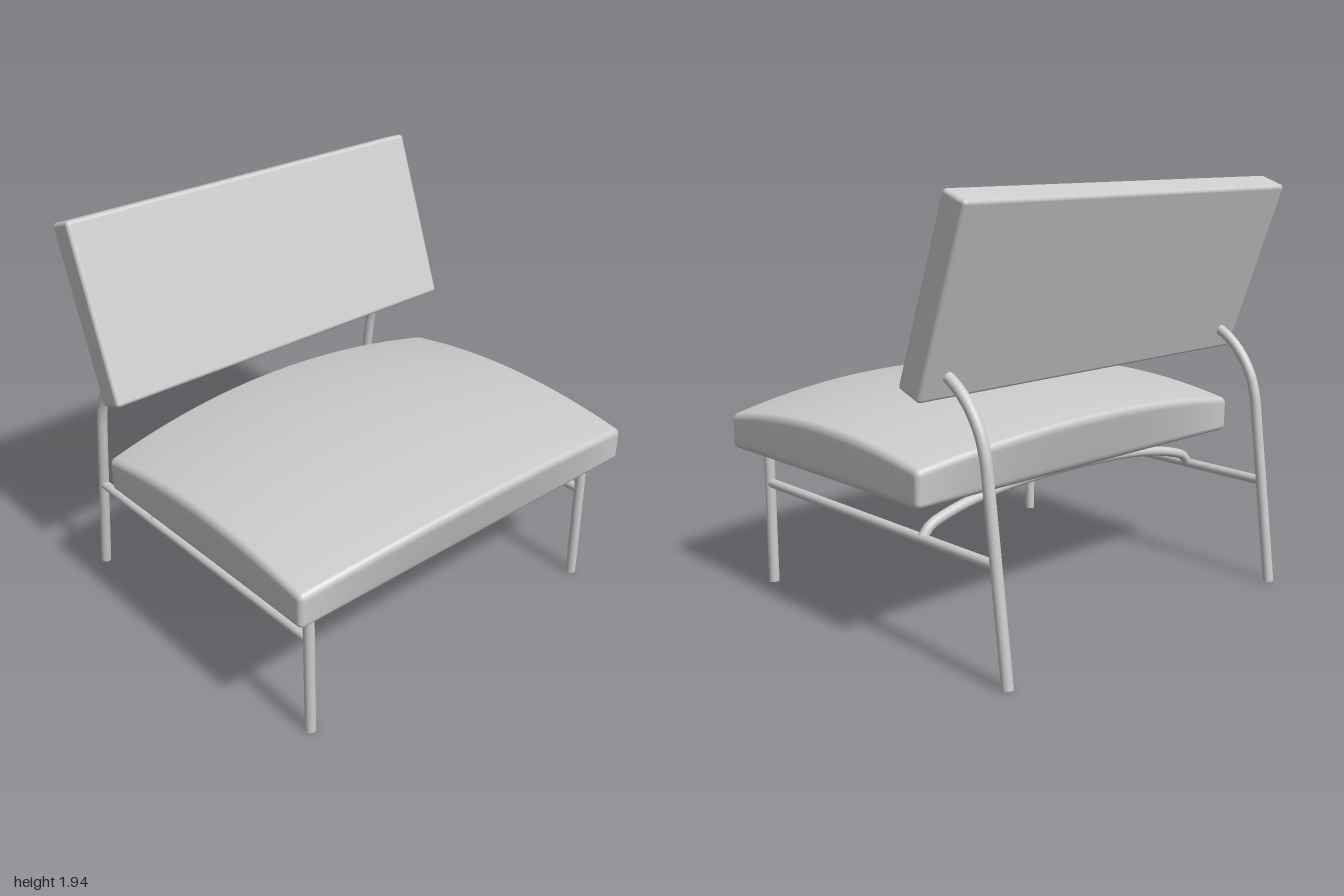
import * as THREE from 'three';
import { mergeVertices } from 'three/addons/utils/BufferGeometryUtils.js';
import { RoundedBoxGeometry } from 'three/addons/geometries/RoundedBoxGeometry.js';

const material = new THREE.MeshStandardMaterial({ color: 0xcccccc });
const V = (x, y, z) => new THREE.Vector3(x, y, z);

function part(name, geometry) {
  const mesh = new THREE.Mesh(geometry, material);
  mesh.name = name;
  return mesh;
}

// Straight capped rod between two points
function rod(name, a, b, radius) {
  const mesh = part(name, new THREE.CylinderGeometry(radius, radius, a.distanceTo(b), 20));
  mesh.position.copy(a).add(b).multiplyScalar(0.5);
  mesh.quaternion.setFromUnitVectors(V(0, 1, 0), b.clone().sub(a).normalize());
  return mesh;
}

function bentTube(name, points, radius, segments) {
  return part(name, new THREE.TubeGeometry(new THREE.CatmullRomCurve3(points), segments, radius, 16));
}

// Soft-edged cushion: a rounded box whose top swells in both directions
function cushionGeometry() {
  const half = [1, 0.08, 0.695], segs = [32, 12, 28], edge = 4, r = 0.025;
  const box = new THREE.BoxGeometry(2, 2, 2, ...segs);
  box.deleteAttribute('normal');
  box.deleteAttribute('uv');
  const geometry = mergeVertices(box, 1e-4);
  const pos = geometry.attributes.position;
  for (let i = 0; i < pos.count; i++) {
    const inner = [], off = [];
    [pos.getX(i), pos.getY(i), pos.getZ(i)].forEach((c, k) => {
      // The outer rows of the grid form the rounded edge
      const n = segs[k] / 2, s = Math.abs(c) * n, flat = n - edge;
      inner.push(Math.sign(c) * Math.min(s / flat, 1) * (half[k] - r));
      off.push(Math.sign(c) * Math.max(0, s - flat) / edge);
    });
    const d = V(...off).normalize().multiplyScalar(r);
    let [x, y, z] = [inner[0] + d.x, inner[1] + d.y, inner[2] + d.z];
    const t = (y + half[1]) / (2 * half[1]);
    const w = z / half[2];
    y += t * (0.09 * (1 - x * x) + 0.07 * (1 - w * w));
    z += t * w * 0.075 * (1 - x * x);
    pos.setXYZ(i, x, y + 0.67 + half[1], z + 0.165);
  }
  geometry.computeVertexNormals();
  return geometry;
}

export function createModel() {
  const chair = new THREE.Group();
  chair.name = 'loungeChair';

  chair.add(part('seatCushion', cushionGeometry()));

  // Reclined back panel
  const back = part('backrest', new RoundedBoxGeometry(1.99, 0.845, 0.14, 4, 0.018));
  back.position.set(0, 1.522, -0.613);
  back.rotation.x = -0.345;
  chair.add(back);

  // Side frames, mirrored
  for (const [side, x] of [['left', 0.87], ['right', -0.87]]) {
    const frame = new THREE.Group();
    frame.name = side + 'Frame';
    frame.add(rod('frontLeg', V(x, 0, 0.75), V(x, 0.69, 0.75), 0.025));
    frame.add(rod('backLeg', V(x, 0.003, -0.91), V(x, 0.88, -0.793), 0.025));
    frame.add(bentTube('backrestArm', [
      V(x, 0.86, -0.796), V(x, 0.9, -0.789), V(x, 1.0, -0.758),
      V(x, 1.1, -0.695), V(x, 1.17, -0.62), V(x, 1.22, -0.53),
    ], 0.025, 32));
    frame.add(rod('sideRail', V(x, 0.495, 0.75), V(x, 0.495, -0.845), 0.022));
    chair.add(frame);
  }

  // Arched bar under the seat, joining the side rails
  const arch = [[0.87, 0.495], [0.83, 0.54], [0.75, 0.57], [0.6, 0.603], [0.4, 0.628]];
  chair.add(bentTube('seatSupport', [
    ...arch.map(([x, y]) => V(-x, y, -0.395)),
    V(0, 0.643, -0.395),
    ...arch.slice().reverse().map(([x, y]) => V(x, y, -0.395)),
  ], 0.023, 64));

  return chair;
}
